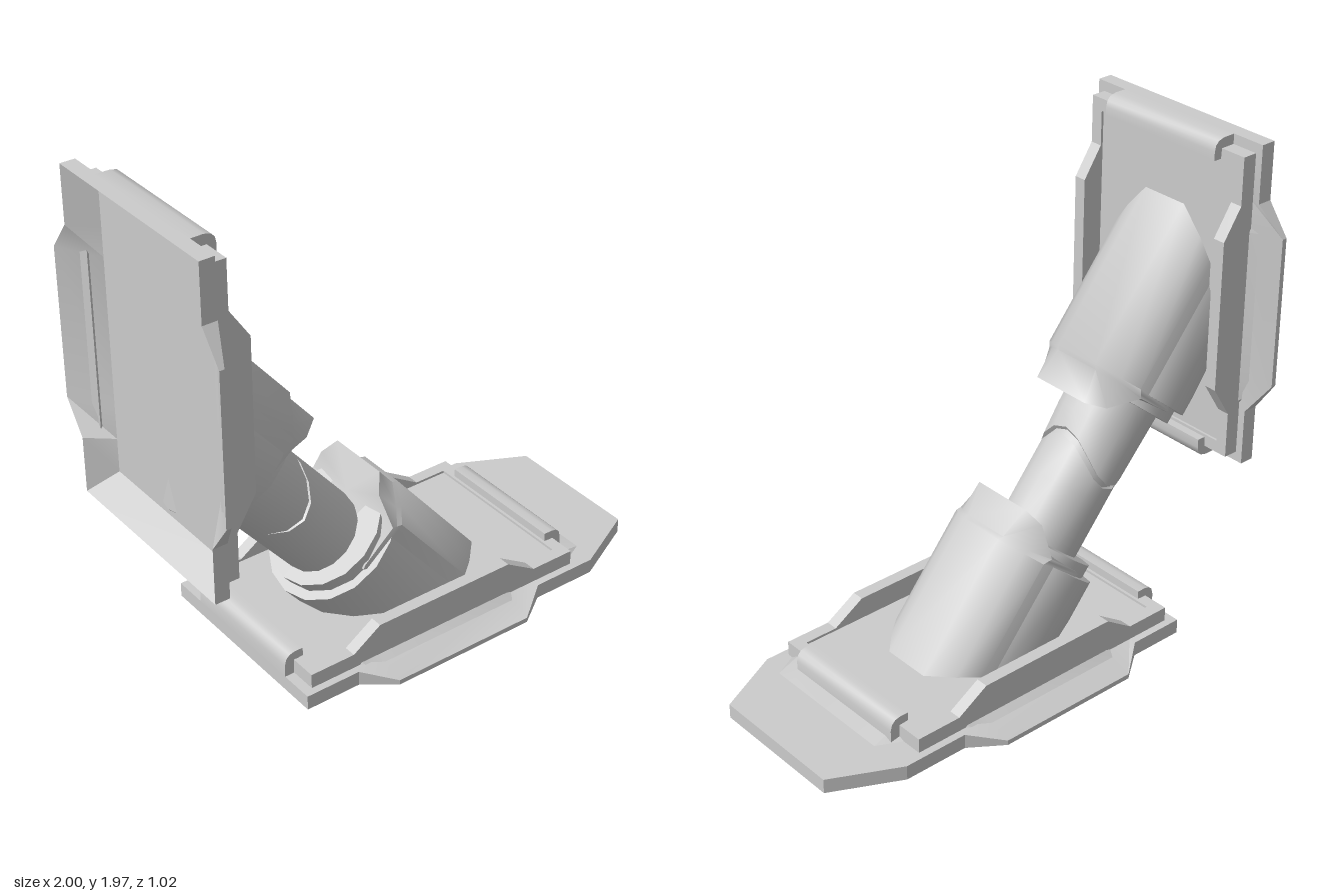
import * as THREE from 'three';
import { toCreasedNormals } from 'three/addons/utils/BufferGeometryUtils.js';

const material = new THREE.MeshStandardMaterial({ color: 0xcccccc, side: THREE.DoubleSide });

function add(parent, name, geometry, crease) {
  const mesh = new THREE.Mesh(toCreasedNormals(geometry, crease), material);
  mesh.name = name;
  parent.add(mesh);
}

// Closed skin through rings of [x, y, z], capped at both ends
function skin(rings, flip = false) {
  const n = rings[0].length;
  const pos = rings.flat(2);
  const index = [];
  const tri = (a, b, c) => (flip ? index.push(a, c, b) : index.push(a, b, c));
  for (let i = 0; i < rings.length - 1; i++) {
    for (let j = 0; j < n; j++) {
      const k = (j + 1) % n;
      const [a, b, c, d] = [i * n + j, i * n + k, (i + 1) * n + k, (i + 1) * n + j];
      tri(a, d, b);
      tri(b, d, c);
    }
  }
  [0, rings.length - 1].forEach((r, end) => {
    const centre = pos.length / 3;
    pos.push(...[0, 1, 2].map((c) => rings[r].reduce((sum, q) => sum + q[c] / n, 0)));
    for (let j = 0; j < n; j++) {
      const [a, b] = [r * n + j, r * n + (j + 1) % n];
      if (end) tri(centre, b, a);
      else tri(centre, a, b);
    }
  });
  const g = new THREE.BufferGeometry();
  g.setAttribute('position', new THREE.Float32BufferAttribute(pos, 3));
  g.setIndex(index);
  return g.toNonIndexed();
}

// Mounting tray lying flat; the lower one has a long tongue
function makeTray(name, tongue) {
  const tray = new THREE.Group();
  tray.name = name;
  // Half outlines run from the +x end to the -x end as [x, z]
  const sideX = [0.46, 0.33, -0.28, -0.4];
  const outer = [...(tongue ? [[1, 0.285], [0.73, 0.42]] : [[0.69, 0.28], [0.69, 0.42]]),
    [0.46, 0.42], [0.33, 0.51], [-0.28, 0.51], [-0.4, 0.42], [-0.63, 0.42]];
  const box = (x0, x1, z) => [[x1, z * 0.7], [x1, z], ...sideX.map((x) => [x, z]), [x0, z]];
  const rim = box(-0.59, 0.65, 0.39);
  const opening = box(-0.54, 0.6, 0.34);
  // Full ring from a half outline; the wing stations may sit at another height
  const ring = (half, y, wingY = y) => {
    const pts = half.map(([x, z], i) => [x, i === 3 || i === 4 ? wingY : y, z]);
    return [...pts, ...pts.map(([x, h, z]) => [x, h, -z]).reverse()];
  };
  add(tray, 'trayShell', skin([
    ring(opening, 0.095), // hollow underside
    ring(outer, 0),
    ring(outer, 0.06, 0.02), // thin sloping side flange
    ring(rim, 0.06),
    ring(rim, 0.12, 0.2), // raised side walls
    ring(opening, 0.12, 0.2),
    ring(opening, 0.11),
  ]), 0.45);

  // Rounded lips hooking inwards at both ends
  const hook = [[0.65, 0.05], [0.69, 0.05], [0.69, 0.11], [0.683, 0.137], [0.668, 0.151],
    [0.645, 0.156], [0.61, 0.156], [0.61, 0.122], [0.65, 0.118]];
  for (const s of [-1, 1]) {
    const shape = new THREE.Shape(hook.map(([x, y]) => new THREE.Vector2(0.03 + s * (x - 0.03), y)));
    const lip = new THREE.ExtrudeGeometry(shape, { depth: 0.56, bevelEnabled: false });
    add(tray, 'endLip', lip.translate(0, 0, -0.28), 0.7);
  }
  return tray;
}

// Arm frame: u runs up along the arm, v across it, z sideways.
// Upper parts are mirrored about the arm's middle.
const MIDDLE = 0.786;
function loft(rings, upper) {
  return skin(rings.map((ring) => ring.map(([u0, v, z]) => {
    const u = upper ? 2 * MIDDLE - u0 : u0;
    return [-0.64 * u + 0.77 * v, 0.77 * u + 0.64 * v, z];
  })), upper);
}

// Circle around the arm; u may depend on v and on the angle
function circle(v0, r, u, sides = 16) {
  return Array.from({ length: sides }, (_, j) => {
    const a = (j / sides) * Math.PI * 2;
    const v = v0 + r * Math.cos(a);
    return [typeof u === 'function' ? u(v, a) : u, v, r * Math.sin(a)];
  });
}

function makeSocket(name, upper) {
  const socket = new THREE.Group();
  socket.name = name;
  // Where the socket meets its tray floor
  const foot = (v) => Math.min(0.4, upper ? 2 * MIDDLE - (0.77 * v + 0.888) / 0.64 : (0.108 - 0.64 * v) / 0.77);
  add(socket, 'socketBody', loft([circle(0.07, 0.28, foot), circle(0.07, 0.28, 0.42)], upper), 0.7);
  add(socket, 'collar', loft([circle(0.075, 0.247, 0.41), circle(0.075, 0.247, 0.475)], upper), 0.7);

  // Chamfered hood with a stepped visor that narrows to its tip
  const half = [[0.05, 0.25], [0.25, 0.25], [0.305, 0.19], [0.37, 0.1]];
  const tip = [[0.44, 0.05, 0.25], [0.445, 0.22, 0.25], [0.538, 0.283, 0.18], [0.56, 0.353, 0.13]];
  const arch = (pts) => [...pts.map(([u, v, z]) => [u, v, -z]), ...[...pts].reverse()];
  const section = (u, drop) => arch(half.map(([v, z]) => [typeof u === 'function' ? u(v) : u, v - drop, z]));
  add(socket, 'hood', loft([section(foot, 0), section(0.415, 0), section(0.432, 0.016), arch(tip)], upper), 0.95);
  return socket;
}

export function createModel() {
  const model = new THREE.Group();
  model.name = 'adjustableStand';

  model.add(makeTray('baseTray', true));
  const holder = makeTray('holderTray', false);
  holder.rotation.z = -Math.PI / 2;
  holder.position.set(-1, 1.34, 0);
  model.add(holder);

  model.add(makeSocket('baseSocket', false), makeSocket('holderSocket', true));

  // Lower arm with pointed tongues, an inner core, and the jagged sleeve above
  const tongue = (v, a) => 0.76 + 0.11 * Math.cos(a) ** 2;
  add(model, 'lowerArm', loft([circle(0.046, 0.167, 0.44), circle(0.046, 0.167, 0.7),
    circle(0.046, 0.167, tongue)], false), 0.7);
  add(model, 'armCore', loft([circle(0.046, 0.155, 0.7), circle(0.046, 0.155, 1)], false), 0.7);
  const jagged = (v, a) => 2 * MIDDLE - (0.78 + (Math.cos(a) > 0 ? 0.12 : 0.09) * Math.cos(a) ** 2);
  add(model, 'upperSleeve', loft([circle(0.05, 0.182, 0.44), circle(0.05, 0.178, 0.6),
    circle(0.046, 0.172, jagged)], true), 0.7);
  return model;
}
